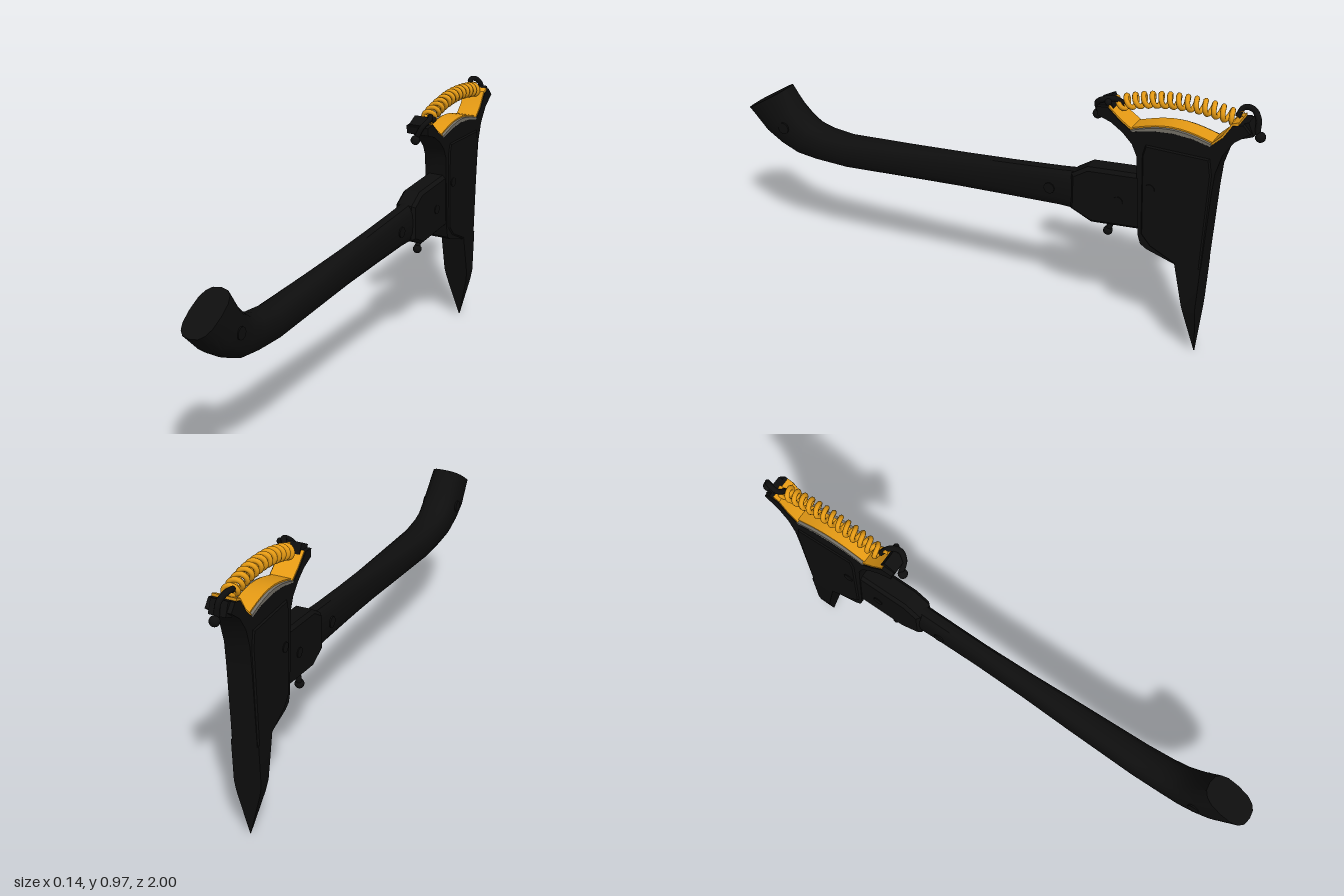
import * as THREE from 'three';
import { toCreasedNormals } from 'three/addons/utils/BufferGeometryUtils.js';

const mat = (name, color) => {
  const m = new THREE.MeshStandardMaterial({ color });
  m.name = name;
  return m;
};

// Skin a list of rings (arrays of [x, y, z]) and close both ends
function loft(rings, crease = 0.6) {
  const n = rings[0].length, last = (rings.length - 1) * n, idx = [];
  for (let i = 0; i < rings.length - 1; i++) {
    for (let j = 0; j < n; j++) {
      const a = i * n + j, b = i * n + (j + 1) % n, c = b + n, d = a + n;
      idx.push(a, d, b, b, d, c);
    }
  }
  for (let j = 1; j < n - 1; j++) idx.push(0, j, j + 1, last, last + j + 1, last + j);
  const g = new THREE.BufferGeometry();
  g.setAttribute('position', new THREE.Float32BufferAttribute(rings.flat(2), 3));
  g.setIndex(idx);
  return toCreasedNormals(g, crease);
}

// Plate with a [z, y] outline, reaching from -half to +half in x
function plate(points, half, bevel = 0) {
  const shape = new THREE.Shape(points.map(p => new THREE.Vector2(p[0], p[1])));
  const depth = 2 * (half - bevel);
  const g = new THREE.ExtrudeGeometry(shape, {
    depth, bevelEnabled: bevel > 0, bevelSize: bevel, bevelThickness: bevel,
    bevelOffset: -bevel, bevelSegments: 1,
  });
  g.translate(0, 0, -depth / 2);
  g.rotateY(-Math.PI / 2);
  return toCreasedNormals(g, 0.4);
}

// Band of given thickness lying on a [z, y] line
const band = (line, half, t) => plate([...line, ...line.map(([z, y]) => [z, y - t]).reverse()], half);

const tube = (points, r, seg = 20) => new THREE.TubeGeometry(
  new THREE.CatmullRomCurve3(points.map(p => new THREE.Vector3(...p))), seg, r, 8);

// Spring curve wound around an arched axis
class Coil extends THREE.Curve {
  constructor(axis, turns, radius) {
    super();
    Object.assign(this, { axis, turns, radius });
  }
  getPoint(t, target = new THREE.Vector3()) {
    const p = this.axis.getPoint(t), d = this.axis.getTangent(t);
    const up = new THREE.Vector3(0, -d.z, d.y);
    const a = t * this.turns * Math.PI * 2;
    return target.copy(p).addScaledVector(up, Math.cos(a) * this.radius)
      .add(new THREE.Vector3(Math.sin(a) * this.radius, 0, 0));
  }
}

export function createModel() {
  const group = new THREE.Group();
  const black = mat('black', 0x0e0e0e);
  const orange = mat('orange', 0xe89c14);
  const grey = mat('grey', 0x77736a);
  const add = (name, geo, material, x = 0, y = 0, z = 0) => {
    const m = new THREE.Mesh(geo, material);
    m.name = name;
    m.position.set(x, y, z);
    group.add(m);
    return m;
  };

  // Curved handle: top z, y, bottom z, y, half width
  const stations = [
    [0.826, 0.668, 1.0, 0.556, 0.06], [0.783, 0.599, 0.917, 0.48, 0.067],
    [0.75, 0.565, 0.85, 0.44, 0.066], [0.714, 0.54, 0.78, 0.412, 0.063],
    [0.66, 0.526, 0.7, 0.403, 0.06], [0.57, 0.519, 0.57, 0.4, 0.057],
    [0.3, 0.541, 0.3, 0.42, 0.048], [0.1, 0.56, 0.1, 0.433, 0.039],
    [-0.1, 0.58, -0.1, 0.444, 0.034], [-0.29, 0.6, -0.29, 0.455, 0.034],
    [-0.4, 0.615, -0.4, 0.455, 0.035],
  ];
  const squash = v => Math.sign(v) * Math.pow(Math.abs(v), 0.75);
  add('handle', loft(stations.map(([tz, ty, bz, by, w]) => {
    const ring = [];
    for (let j = 0; j < 16; j++) {
      const a = j / 16 * Math.PI * 2, s = squash(Math.sin(a)) / 2;
      ring.push([w * squash(Math.cos(a)), (ty + by) / 2 + (ty - by) * s, (tz + bz) / 2 + (tz - bz) * s]);
    }
    return ring;
  })), black);

  // Collar joining handle and head
  add('collar', plate([[-0.34, 0.6], [-0.4, 0.64], [-0.62, 0.66], [-0.62, 0.45],
    [-0.42, 0.43], [-0.34, 0.465]], 0.041, 0.012), black);

  // Head with two flaring horns
  add('head', plate([
    [-0.6, 0.43], [-0.585, 0.66], [-0.58, 0.73], [-0.562, 0.77], [-0.527, 0.805], [-0.485, 0.833],
    [-0.435, 0.85], [-0.43, 0.88], [-0.47, 0.885], [-0.515, 0.845], [-0.56, 0.815],
    [-0.63, 0.833], [-0.7, 0.84], [-0.77, 0.836], [-0.83, 0.822], [-0.87, 0.862], [-0.9, 0.912],
    [-0.935, 0.922], [-0.96, 0.895], [-0.91, 0.855], [-0.875, 0.8], [-0.855, 0.73],
    [-0.848, 0.65], [-0.831, 0.353], [-0.74, 0.353], [-0.634, 0.385], [-0.61, 0.4],
  ], 0.045), black);
  add('sidePlates', plate([[-0.61, 0.44], [-0.6, 0.74], [-0.61, 0.78], [-0.835, 0.78],
    [-0.845, 0.72], [-0.83, 0.353], [-0.742, 0.353], [-0.645, 0.4]], 0.05, 0.006), black);

  // Spike: y, front z, back z, half width
  add('spike', loft([[0.36, -0.738, -0.831, 0.05], [0.2, -0.772, -0.823, 0.05],
    [0.16, -0.781, -0.822, 0.043], [0, -0.813, -0.816, 0.001]].map(([y, f, b, w]) =>
    [[w, y, b], [-w, y, b], [-w, y, f], [w, y, f]]), 0.3), black);

  // Grey edge and orange lining between the horns
  const arc = [];
  for (let i = 0; i <= 10; i++) {
    const t = i / 10;
    arc.push([-0.555 - 0.28 * t, 0.82 + 0.01 * t + 0.028 * Math.sin(Math.PI * t)]);
  }
  add('edge', band(arc, 0.0445, 0.018), grey);
  add('edgeLining', band(arc.map(([z, y]) => [z, y + 0.005]), 0.034, 0.008), orange);
  add('frontHornLining', band([[-0.472, 0.889], [-0.515, 0.852], [-0.56, 0.822]], 0.041, 0.014), orange);
  add('rearHornLining', band([[-0.828, 0.828], [-0.866, 0.867], [-0.896, 0.918], [-0.92, 0.928]], 0.042, 0.014), orange);

  // Coiled cord
  const axis = new THREE.QuadraticBezierCurve3(new THREE.Vector3(0, 0.888, -0.495),
    new THREE.Vector3(0, 0.972, -0.7), new THREE.Vector3(0, 0.918, -0.91));
  add('coil', new THREE.TubeGeometry(new Coil(axis, 14, 0.021), 280, 0.009, 8), orange);

  // Hooks, lugs and knobs holding the cord
  const ball = r => new THREE.SphereGeometry(r, 12, 8);
  add('frontHook', tube([[0, 0.84, -0.425], [0.025, 0.885, -0.425], [0.04, 0.908, -0.45],
    [0.025, 0.912, -0.485], [0, 0.89, -0.508]], 0.01), black);
  add('frontKnob', ball(0.018), black, 0, 0.833, -0.418);
  add('frontHookEnd', ball(0.012), black, 0.045, 0.905, -0.472);
  add('frontLug', new THREE.BoxGeometry(0.06, 0.04, 0.05), black, 0, 0.883, -0.455).rotation.x = 0.5;
  add('rearHook', tube([[0, 0.925, -0.9], [-0.026, 0.952, -0.912], [-0.022, 0.954, -0.945],
    [-0.008, 0.93, -0.968], [0, 0.88, -0.97]], 0.01), black);
  add('rearKnob', ball(0.018), black, 0, 0.872, -0.982);
  add('rearLug', new THREE.BoxGeometry(0.06, 0.05, 0.04), black, 0, 0.898, -0.94).rotation.x = 0.4;

  // Small lever under the collar
  add('lever', tube([[-0.01, 0.45, -0.48], [-0.012, 0.415, -0.475], [-0.012, 0.385, -0.467]], 0.011, 6), black);
  add('leverKnob', ball(0.017), black, -0.012, 0.387, -0.467);

  // Bolts through handle and head: y, z, radius, half length
  for (const [y, z, r, h] of [[0.525, 0.82, 0.022, 0.07], [0.525, -0.26, 0.02, 0.038],
    [0.62, -0.635, 0.018, 0.053], [0.54, -0.52, 0.018, 0.044]]) {
    add('bolt', new THREE.CylinderGeometry(r, r, 2 * h, 16), black, 0, y, z).rotation.z = Math.PI / 2;
  }
  return group;
}
